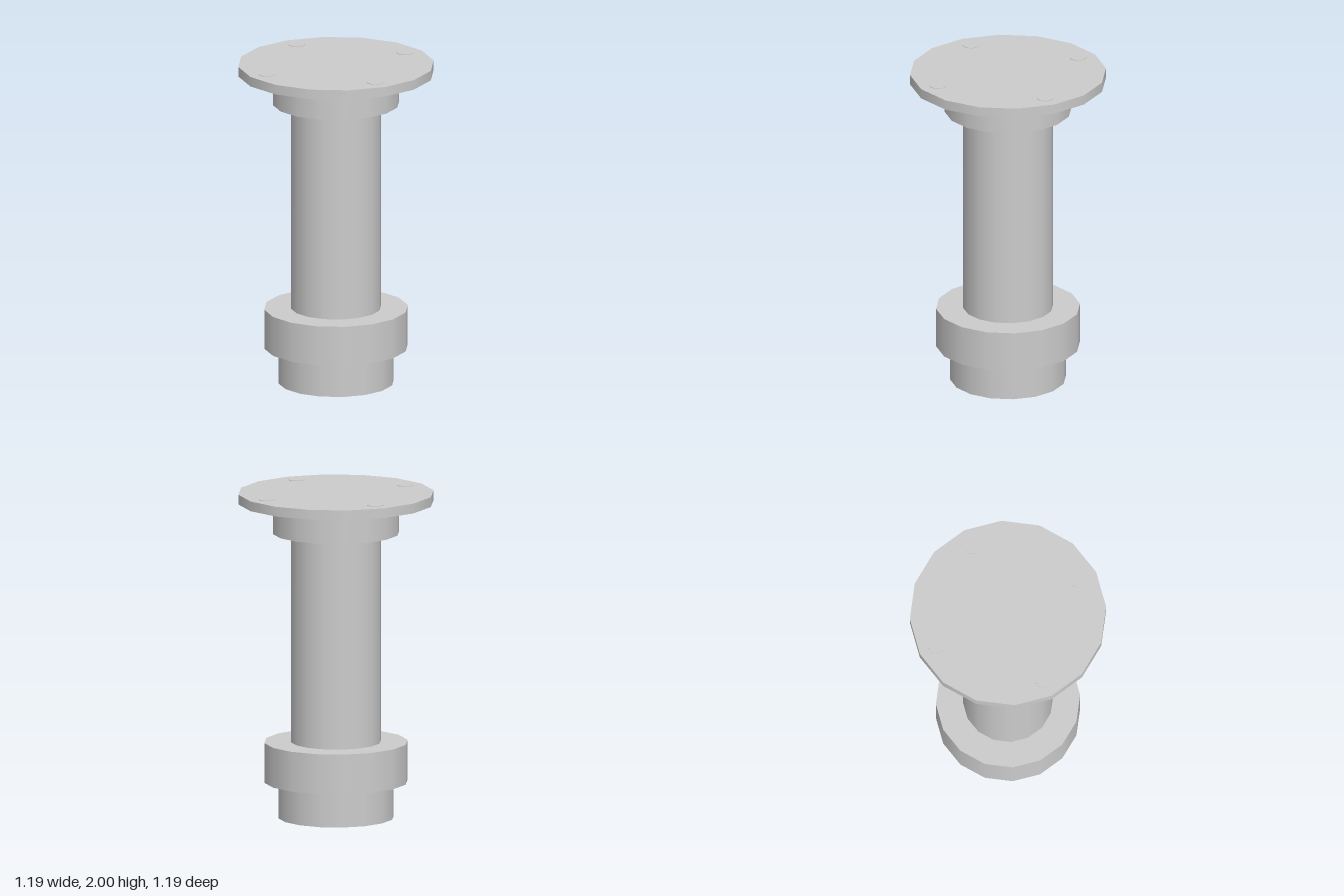
import * as THREE from 'three';

export function createModel() {
  const model = new THREE.Group();
  model.name = 'flangedColumn';
  const grey = new THREE.MeshStandardMaterial({ color: 0xcccccc });
  grey.name = 'plain grey';

  // Upright cylinder between two heights
  function drum(name, radius, bottom, top, x = 0, z = 0) {
    const geometry = new THREE.CylinderGeometry(radius, radius, top - bottom, 16);
    const mesh = new THREE.Mesh(geometry, grey);
    mesh.name = name;
    mesh.position.set(x, (bottom + top) / 2, z);
    model.add(mesh);
  }

  // Stacked body, from foot to flange
  drum('foot', 0.352, 0, 0.22);
  drum('lowerCollar', 0.437, 0.22, 0.465);
  drum('shaft', 0.273, 0.465, 1.75);
  drum('upperCollar', 0.385, 1.75, 1.937);
  drum('flange', 0.595, 1.937, 1.997);

  // Four low bolt heads on the flange
  for (let i = 0; i < 4; i++) {
    const angle = Math.PI / 4 + (i * Math.PI) / 2;
    drum('boltHead', 0.05, 1.98, 2, 0.48 * Math.cos(angle), 0.48 * Math.sin(angle));
  }
  return model;
}
